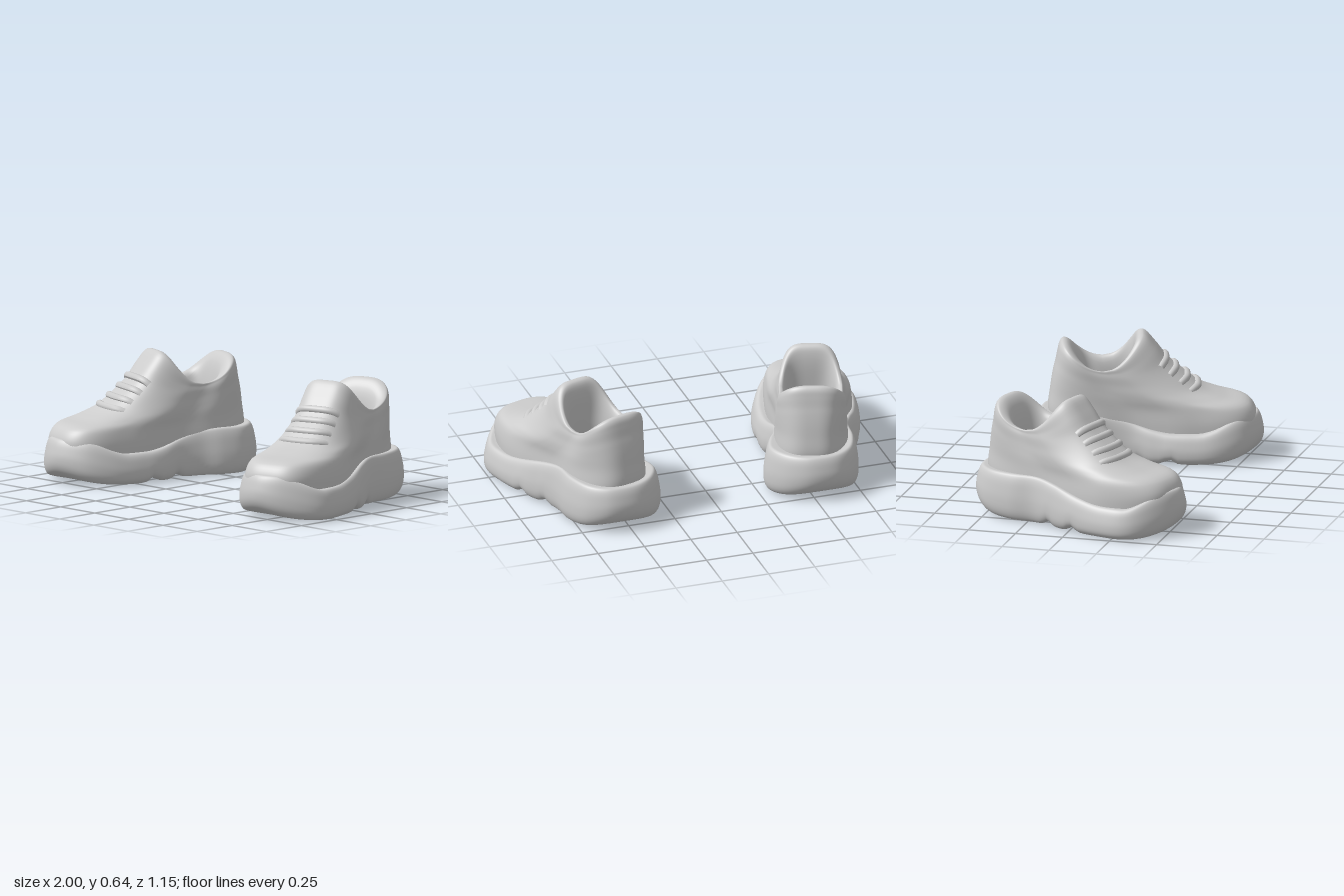
import * as THREE from 'three';

const { smoothstep, lerp, clamp } = THREE.MathUtils;
const TURN = 0.297; // toes point outwards
const ORIGIN_X = 0.645;
const AROUND = 120;

// foot frame (s along the foot, w across it) to model frame
function place(s, y, w) {
  return new THREE.Vector3(
    ORIGIN_X + s * Math.sin(TURN) + w * Math.cos(TURN), y,
    s * Math.cos(TURN) - w * Math.sin(TURN));
}

// distance along the foot of a model-frame point
const along = p => (p.x - ORIGIN_X) * Math.sin(TURN) + p.z * Math.cos(TURN);

// closed-ring surface through one curve per direction around the foot
function loft(curves, steps) {
  const pos = [], index = [];
  for (let i = 0; i <= steps; i++) {
    for (const curve of curves) pos.push(...curve.getPoint(i / steps).toArray());
  }
  for (let i = 0; i < steps; i++) {
    for (let j = 0; j < AROUND; j++) {
      const k = (j + 1) % AROUND;
      const a = i * AROUND + j, b = i * AROUND + k, c = a + AROUND, d = b + AROUND;
      index.push(a, b, c, b, d, c);
    }
  }
  const g = new THREE.BufferGeometry();
  g.setAttribute('position', new THREE.Float32BufferAttribute(pos, 3));
  g.setIndex(index);
  g.computeVertexNormals();
  return g;
}

const allAround = meridian => Array.from({ length: AROUND }, (_, j) => meridian(j / AROUND));

// sole outline on the ground (x, z), from the toe round the outer side
const OUTLINE = new THREE.CatmullRomCurve3([
  [0.72, 0.572], [0.82, 0.545], [0.92, 0.465], [0.985, 0.37], [1.0, 0.29], [0.975, 0.17],
  [0.945, 0.08], [0.90, -0.03], [0.85, -0.12], [0.805, -0.22], [0.79, -0.35], [0.73, -0.49],
  [0.64, -0.56], [0.55, -0.575], [0.44, -0.555], [0.34, -0.48], [0.285, -0.36], [0.32, -0.24],
  [0.38, -0.14], [0.41, -0.03], [0.405, 0.08], [0.42, 0.24], [0.47, 0.40], [0.57, 0.52],
].map(([x, z]) => new THREE.Vector3(x, 0, z)), true);

// sole rings: inset towards the foot axis, height between underside (0) and seam (1)
const SOLE_RINGS = [[1, 0], [0.6, 0], [0.2, 0], [0.08, 0.03], [0.015, 0.16], [0, 0.4],
  [0.025, 0.65], [0.075, 0.9], [0.13, 1], [0.22, 1], [0.4, 0.97]];

function soleMeridian(t) {
  const p = OUTLINE.getPoint(t);
  const axis = place(clamp(along(p), -0.33, 0.33), 0, 0);
  return new THREE.CatmullRomCurve3(SOLE_RINGS.map(([inset, h]) => {
    const q = p.clone().lerp(axis, inset);
    const s = along(q);
    // rolled toe and heel, cross grooves under the arch
    const groove = c => 0.025 * Math.exp(-(((s - c) / 0.03) ** 2));
    const low = 0.004 + 0.075 * Math.abs(q.z / 0.57) ** 7 + groove(0.09) + groove(-0.07);
    const seam = 0.16 + 0.075 * smoothstep(p.z, 0.3, 0.56) + 0.085 * (1 - smoothstep(p.z, -0.25, 0.2));
    q.y = lerp(low, seam, h);
    return q;
  }));
}

// upper rings: y at toe, side, heel; s at front, back; half width front, back
const UPPER_RINGS = [
  [0.14, 0.12, 0.20, 0.535, -0.52, 0.24, 0.205],
  [0.23, 0.20, 0.26, 0.54, -0.525, 0.24, 0.205],
  [0.29, 0.27, 0.34, 0.50, -0.515, 0.23, 0.20],
  [0.32, 0.32, 0.41, 0.38, -0.505, 0.215, 0.20],
  [0.36, 0.36, 0.46, 0.265, -0.495, 0.195, 0.20],
  [0.42, 0.40, 0.50, 0.185, -0.485, 0.175, 0.20],
  [0.50, 0.44, 0.55, 0.09, -0.475, 0.16, 0.20],
  [0.58, 0.46, 0.585, 0.025, -0.465, 0.152, 0.195],
  [0.642, 0.475, 0.60, -0.035, -0.45, 0.148, 0.188], // collar and tongue crest
  [0.635, 0.47, 0.595, -0.065, -0.425, 0.138, 0.16],
  [0.57, 0.44, 0.55, -0.085, -0.39, 0.128, 0.135], // lining
  [0.40, 0.35, 0.42, -0.085, -0.36, 0.125, 0.12],
  [0.28, 0.28, 0.29, -0.08, -0.36, 0.12, 0.12],
  [0.26, 0.26, 0.26, -0.10, -0.34, 0.09, 0.09], // insole
  [0.26, 0.26, 0.26, -0.21, -0.21, 0, 0],
];

function upperMeridian(t) {
  const c = Math.cos(t * Math.PI * 2), si = Math.sin(t * Math.PI * 2);
  return new THREE.CatmullRomCurve3(UPPER_RINGS.map(([yF, yM, yH, sF, sB, hF, hB]) => {
    // squarer tongue and heel, rounder toe
    const e = c > 0 ? lerp(0.66, 0.5, smoothstep(yF, 0.42, 0.6)) : 0.66;
    const n = Math.sign(c) * Math.abs(c) ** e;
    const m = Math.sign(si) * Math.abs(si) ** e;
    const s = (sF + sB) / 2 + n * (sF - sB) / 2;
    const waist = 1 - 0.15 * (sF - sB) * Math.exp(-(((n + 0.2) / 0.32) ** 2));
    const w = m * waist * lerp(hB, hF, (n + 1) / 2) - 0.03 * smoothstep(s, 0.2, 0.5);
    return place(s, lerp(yM, n > 0 ? yF : yH, n * n), w);
  }));
}

// lace lying half sunk across the instep at a given ring
function laceGeometry(ring) {
  const pts = [];
  for (let i = -5; i <= 5; i++) {
    const p = upperMeridian(i * 0.019).getPoint(ring / (UPPER_RINGS.length - 1));
    p.y -= 0.006 + 0.014 * (Math.abs(i) / 5) ** 4;
    pts.push(p);
  }
  return new THREE.TubeGeometry(new THREE.CatmullRomCurve3(pts), 28, 0.02, 10);
}

// copy reflected in x with the faces turned round
function mirrored(geometry) {
  const g = geometry.clone().scale(-1, 1, 1);
  const a = g.index.array;
  for (let i = 0; i < a.length; i += 3) [a[i], a[i + 1]] = [a[i + 1], a[i]];
  g.computeVertexNormals();
  return g;
}

export function createModel() {
  const grey = new THREE.MeshStandardMaterial({ color: 0xcccccc });
  grey.name = 'light grey';
  const parts = [
    ['sole', loft(allAround(soleMeridian), 40)],
    ['upper', loft(allAround(upperMeridian), 70)],
  ];
  [4.3, 5.0, 5.6, 6.2].forEach((ring, i) => parts.push([`lace${i + 1}`, laceGeometry(ring)]));

  const model = new THREE.Group();
  model.name = 'pairOfSneakers';
  for (const side of ['left', 'right']) {
    const shoe = new THREE.Group();
    shoe.name = `${side}Shoe`;
    for (const [name, geometry] of parts) {
      const mesh = new THREE.Mesh(side === 'left' ? geometry : mirrored(geometry), grey);
      mesh.name = name;
      shoe.add(mesh);
    }
    model.add(shoe);
  }
  return model;
}
